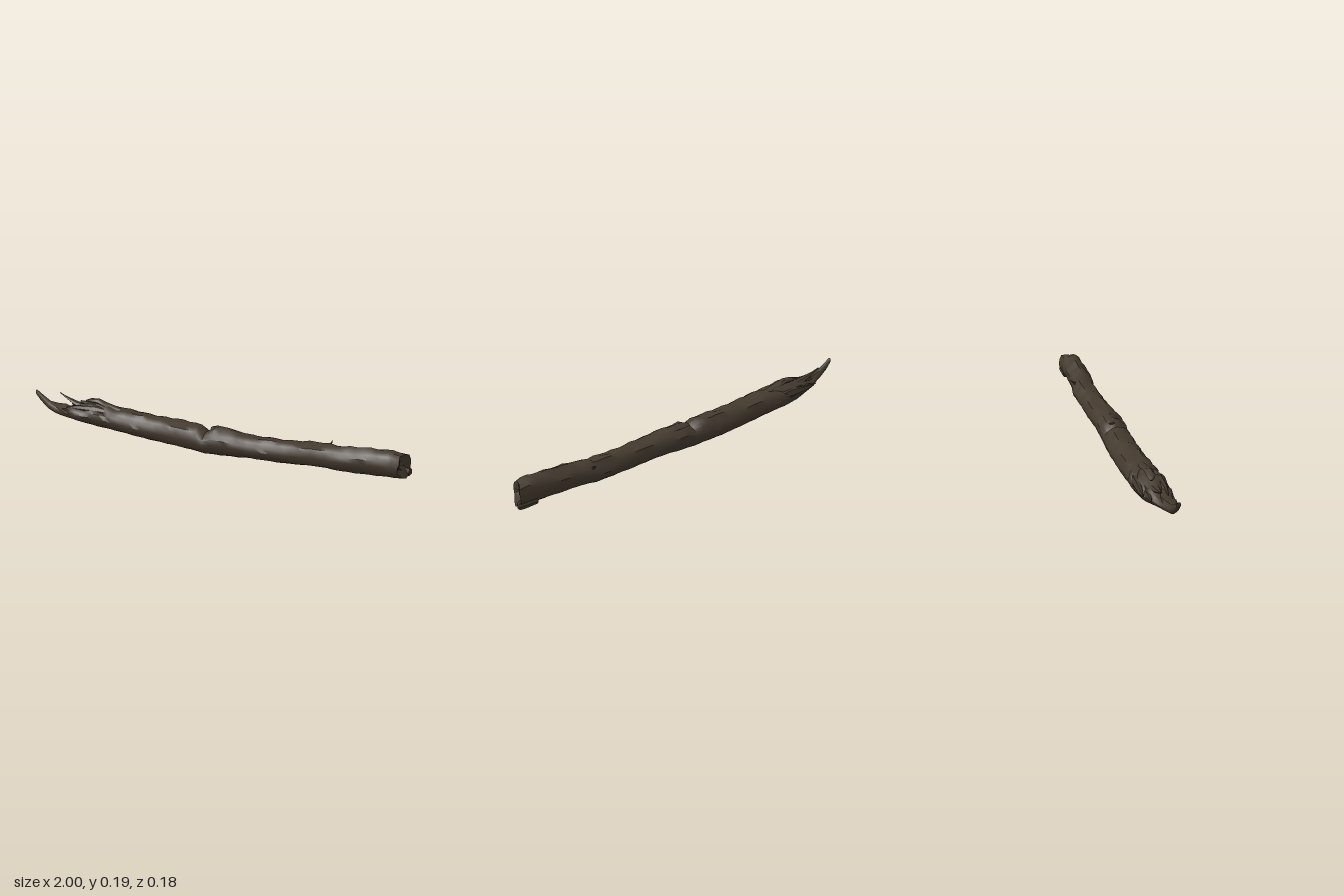
import * as THREE from 'three';
import { toCreasedNormals } from 'three/addons/utils/BufferGeometryUtils.js';

const bark = new THREE.MeshStandardMaterial({ color: 0x443a2f });
bark.name = 'dark bark';

// Skin elliptical sections [x, yMin, yMax, zMin, zMax] running along x, with closed ends.
function loft(sections, sides, deform = (p) => p) {
  const pos = [], index = [], p = new THREE.Vector3();
  sections.forEach(([x, y0, y1, z0, z1], i) => {
    for (let j = 0; j < sides; j++) {
      const a = (j / sides) * Math.PI * 2;
      p.set(x, (y0 + y1) / 2 + Math.sin(a) * (y1 - y0) / 2, (z0 + z1) / 2 + Math.cos(a) * (z1 - z0) / 2);
      deform(p, a, i);
      pos.push(p.x, p.y, p.z);
      if (i === 0) continue;
      const k = (j + 1) % sides, b = i * sides, c = b - sides;
      index.push(c + j, b + j, c + k, c + k, b + j, b + k);
    }
  });
  const last = (sections.length - 1) * sides;
  for (let j = 1; j < sides - 1; j++) {
    index.push(0, j, j + 1, last, last + j + 1, last + j);
  }
  const g = new THREE.BufferGeometry();
  g.setAttribute('position', new THREE.Float32BufferAttribute(pos, 3));
  g.setIndex(index);
  return toCreasedNormals(g, 0.7);
}

// Insert evenly spaced in-between sections so the bark can be roughened.
function refine(sections, step) {
  const out = [];
  for (let i = 0; i < sections.length - 1; i++) {
    const a = sections[i], b = sections[i + 1];
    const n = Math.max(1, Math.round((b[0] - a[0]) / step));
    for (let k = 0; k < n; k++) out.push(a.map((v, m) => v + (b[m] - v) * k / n));
  }
  out.push(sections[sections.length - 1]);
  return out;
}

export function createModel() {
  const log = new THREE.Group();
  log.name = 'brokenLog';
  const add = (name, geometry) => {
    const mesh = new THREE.Mesh(geometry, bark);
    mesh.name = name;
    log.add(mesh);
  };

  // Sagging trunk, thinning on the left into a long torn tongue
  const trunk = refine([
    [-1, 0.165, 0.19, -0.008, 0.012],
    [-0.97, 0.13, 0.17, -0.01, 0.015],
    [-0.92, 0.095, 0.14, -0.014, 0.025],
    [-0.87, 0.083, 0.13, -0.03, 0.045],
    [-0.8, 0.07, 0.135, -0.05, 0.055],
    [-0.74, 0.058, 0.147, -0.075, 0.062],
    [-0.66, 0.048, 0.163, -0.088, 0.065],
    [-0.6, 0.043, 0.163, -0.09, 0.067],
    [-0.4, 0.025, 0.147, -0.08, 0.066],
    [-0.2, 0.01, 0.14, -0.075, 0.067],
    [-0.06, 0.004, 0.137, -0.064, 0.075],
    [-0.02, 0.004, 0.115, -0.058, 0.079],
    [0.03, 0.006, 0.14, -0.06, 0.081],
    [0.16, 0.014, 0.136, -0.055, 0.087],
    [0.22, 0.018, 0.127, -0.055, 0.083],
    [0.4, 0.018, 0.13, -0.055, 0.07],
    [0.57, 0.025, 0.138, -0.061, 0.062],
    [0.68, 0.03, 0.148, -0.045, 0.077],
    [0.85, 0.036, 0.163, -0.042, 0.077],
    [0.94, 0.04, 0.165, -0.041, 0.077],
    [0.98, 0.043, 0.156, -0.038, 0.074],
  ], 0.035);
  // Hollowed, crumpled face closing the right end
  trunk.push([0.976, 0.06, 0.14, -0.025, 0.058], [0.963, 0.08, 0.12, -0.005, 0.04]);
  add('trunk', loft(trunk, 16, (p, a) => {
    const up = 0.35 + 0.65 * Math.max(0, Math.sin(a));
    const fade = THREE.MathUtils.smoothstep(p.x, -0.98, -0.75);
    const rough = 0.006 * up * fade * (Math.sin(p.x * 23 + a * 3) * Math.sin(p.x * 41 - a * 2) + 0.5 * Math.sin(a * 5 + p.x * 9) - 0.3);
    // torn grooves near the broken left end
    const tear = p.x < -0.52 && p.x > -0.86 && Math.sin(a) > 0.1
      ? -0.012 * Math.max(0, Math.sin(p.x * 55 + a * 4)) : 0;
    p.y += Math.sin(a) * (rough + tear);
    p.z += Math.cos(a) * (rough + tear);
    // slanted cut at the right end
    const end = THREE.MathUtils.smoothstep(p.x, 0.9, 0.965);
    p.x += end * (-0.3 * (p.z - 0.02) - 0.14 * (p.y - 0.1) + 0.005 * Math.sin(a * 3) - 0.006);
  }));

  // Splinters: pointed slivers of torn wood
  const splinters = {
    backSplinter: [[-0.79, 0.125, 0.134, -0.092, -0.082], [-0.73, 0.1, 0.138, -0.092, -0.068],
      [-0.64, 0.09, 0.145, -0.09, -0.05], [-0.55, 0.1, 0.13, -0.075, -0.05]],
    raisedSplinter: [[-0.88, 0.178, 0.182, -0.034, -0.03], [-0.84, 0.157, 0.167, -0.036, -0.02],
      [-0.78, 0.13, 0.152, -0.04, 0.0], [-0.7, 0.11, 0.14, -0.04, 0.01]],
    topFlake: [[-0.72, 0.16, 0.164, -0.035, -0.02], [-0.69, 0.16, 0.178, -0.04, 0.0],
      [-0.64, 0.158, 0.184, -0.037, 0.005], [-0.6, 0.15, 0.172, -0.035, 0.01], [-0.5, 0.13, 0.15, -0.03, 0.01]],
    frontFlake: [[-0.81, 0.125, 0.13, 0.018, 0.024], [-0.74, 0.12, 0.148, 0.01, 0.04],
      [-0.64, 0.12, 0.158, 0.0, 0.045], [-0.54, 0.12, 0.145, 0.0, 0.035]],
    sideSplinter: [[-0.83, 0.115, 0.12, -0.068, -0.06], [-0.77, 0.095, 0.125, -0.066, -0.04],
      [-0.68, 0.08, 0.12, -0.07, -0.03]],
    barkRidge: [[0.0, 0.125, 0.135, -0.02, 0.01], [0.03, 0.12, 0.144, -0.028, 0.03],
      [0.1, 0.12, 0.141, -0.022, 0.03], [0.2, 0.11, 0.126, -0.01, 0.02]],
    endSplinter: [[0.9, 0.042, 0.075, -0.038, -0.01], [0.97, 0.038, 0.085, -0.038, 0.0],
      [0.993, 0.042, 0.082, -0.036, -0.006], [1.0, 0.05, 0.072, -0.034, -0.018]],
  };
  for (const [name, sections] of Object.entries(splinters)) add(name, loft(sections, 6));

  // Small twig stub on the back
  const stub = new THREE.ConeGeometry(0.009, 0.045, 5);
  stub.rotateX(-0.9);
  stub.translate(0.6, 0.128, -0.052);
  add('twigStub', stub);

  return log;
}
